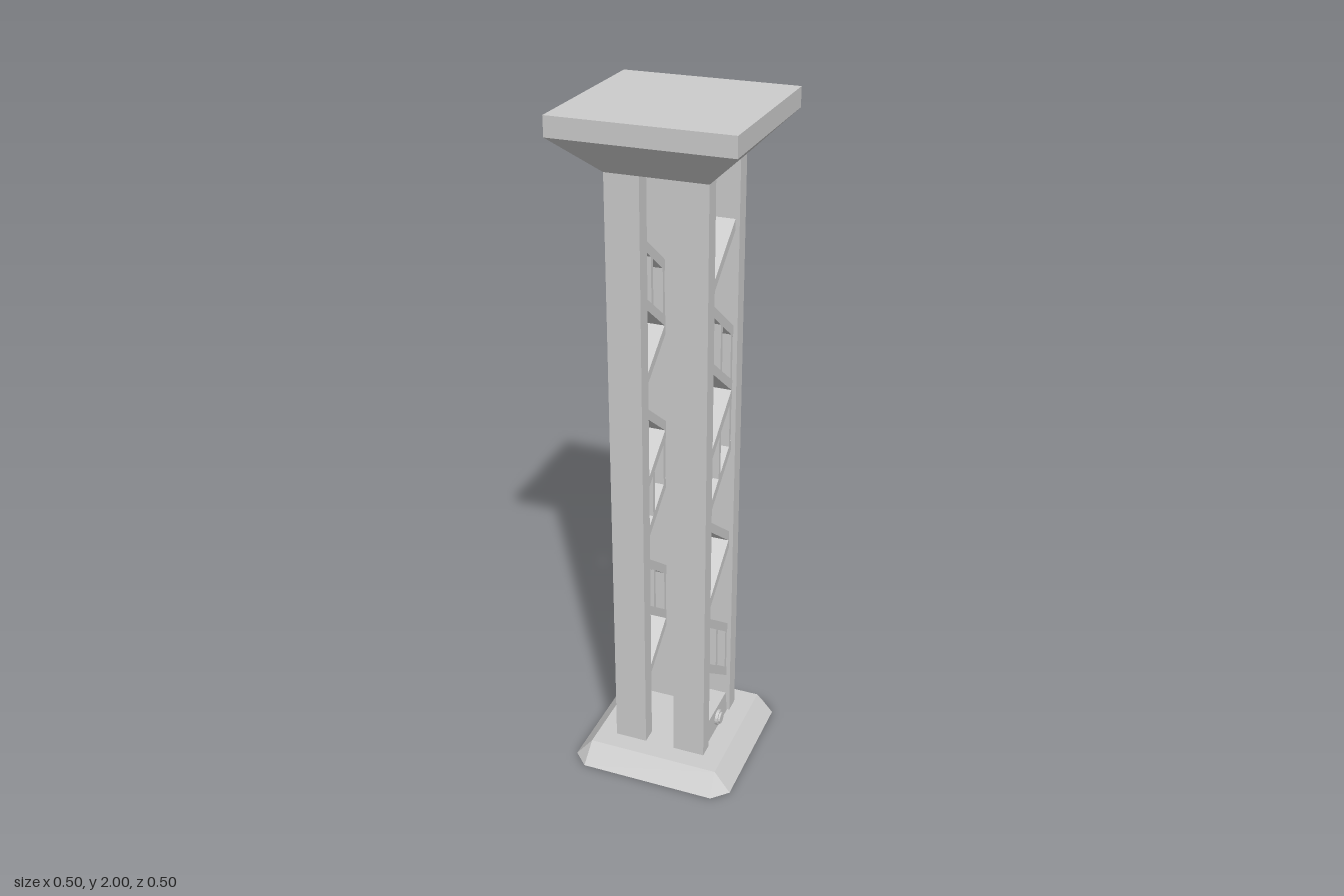
import * as THREE from 'three';
import { ConvexGeometry } from 'three/addons/geometries/ConvexGeometry.js';

const material = new THREE.MeshStandardMaterial({ color: 0xcccccc, flatShading: true });

function addMesh(parent, geometry, name, x = 0, y = 0, z = 0) {
  const mesh = new THREE.Mesh(geometry, material);
  mesh.name = name;
  mesh.position.set(x, y, z);
  parent.add(mesh);
  return mesh;
}

// Outline in (u, y) with u = -z, given thickness along x and centred on x = 0
function sidePanel(points, depth) {
  const shape = new THREE.Shape(points.map(([u, y]) => new THREE.Vector2(u, y)));
  return new THREE.ExtrudeGeometry(shape, { depth, bevelEnabled: false })
    .translate(0, 0, -depth / 2)
    .rotateY(Math.PI / 2);
}

// Four corners of a square at height y, optionally with clipped corners
function squareRing(half, y, cut = 0) {
  const points = [];
  for (const sx of [-1, 1]) for (const sz of [-1, 1]) {
    points.push(new THREE.Vector3(sx * half, y, sz * (half - cut)));
    if (cut) points.push(new THREE.Vector3(sx * (half - cut), y, sz * half));
  }
  return points;
}

const HALF = 0.095;   // half the gap between legs
const STEP = 0.164;   // height of one zigzag step
const DROP = 0.142;   // fall of a bar across the gap
const THICK = 0.032;  // vertical thickness of a bar
const DEPTH = 0.06;

// Zigzag of single bars and framed double bars, listed from the top down
function lattice(name, x, startDir, pattern) {
  const group = new THREE.Group();
  group.name = name;
  group.position.x = x;
  let top = 1.677;
  let dir = startDir; // 1 falls toward the back, -1 toward the front
  for (const kind of pattern) {
    const framed = kind === 'F';
    const bar = (y) => {
      const points = [[-HALF, y], [-HALF, y - THICK], [HALF, y - DROP - THICK], [HALF, y - DROP]];
      const outline = points.map(([u, v]) => [u * dir, v]);
      addMesh(group, sidePanel(dir > 0 ? outline : outline.reverse(), DEPTH), 'diagonalBar');
    };
    bar(top);
    if (framed) {
      bar(top - STEP);
      // Uprights joining the two bars
      for (const u of [-0.083, 0, 0.083]) {
        const mid = top - THICK / 2 - DROP * (u + HALF) / (2 * HALF) - STEP / 2;
        addMesh(group, new THREE.BoxGeometry(DEPTH, STEP, 0.014), 'frameUpright', 0, mid, -u * dir);
      }
    }
    top -= framed ? 2 * STEP : STEP;
    dir = -dir;
  }
  return group;
}

export function createModel() {
  const model = new THREE.Group();
  model.name = 'supportTower';

  // Base with sloping sides and clipped corners
  addMesh(model, new ConvexGeometry([...squareRing(0.25, 0, 0.045), ...squareRing(0.2, 0.06)]), 'base');

  // Flared capital and top slab
  addMesh(model, new ConvexGeometry([...squareRing(0.142, 1.84), ...squareRing(0.25, 1.945)]), 'capital');
  addMesh(model, new THREE.BoxGeometry(0.5, 0.055, 0.5), 'topSlab', 0, 1.9725, 0);

  // Four legs
  for (const sx of [-1, 1]) for (const sz of [-1, 1]) {
    addMesh(model, new THREE.BoxGeometry(0.097, 1.79, 0.048), 'leg', sx * 0.0935, 0.95, sz * 0.118);
  }

  // Zigzag bracing on both sides
  model.add(lattice('leftLattice', 0.1, -1, 'SFFSSF'));
  model.add(lattice('rightLattice', -0.1, 1, 'FSSFFS'));

  // Foot block with a round bolt on the left side
  addMesh(model, sidePanel([[-0.092, 0.055], [0.092, 0.055], [0.076, 0.138], [-0.076, 0.138]], 0.06),
    'footBlock', 0.105, 0, 0);
  const bolt = (radius, length, name) => addMesh(model,
    new THREE.CylinderGeometry(radius, radius, length, 16).rotateZ(Math.PI / 2), name, 0.13 + length / 2, 0.1, 0);
  bolt(0.024, 0.014, 'boltWasher');
  bolt(0.018, 0.02, 'boltHead');

  return model;
}
